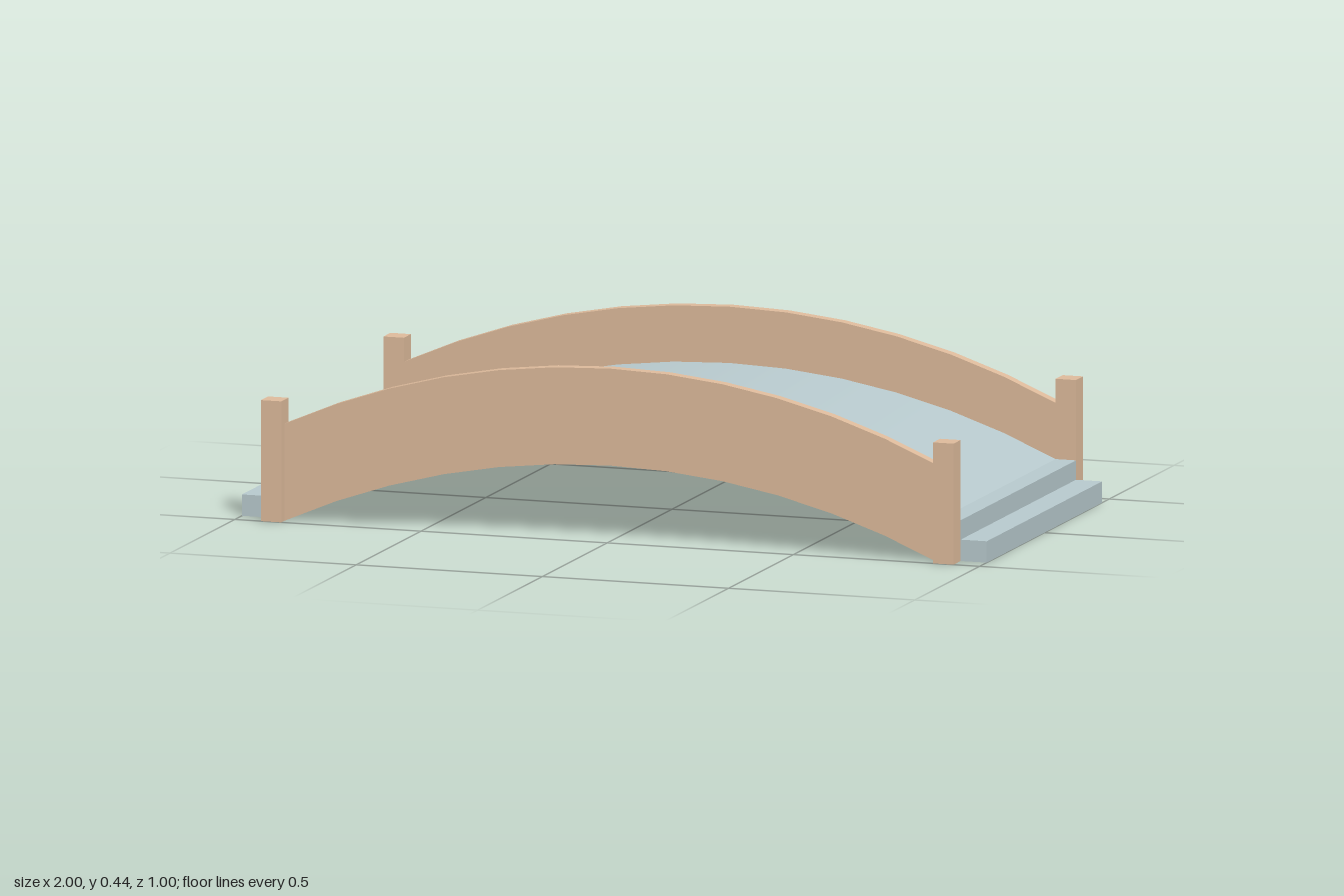
import * as THREE from 'three';
import { toCreasedNormals } from 'three/addons/utils/BufferGeometryUtils.js';

const HALF = 0.875;   // half span of the arch
const RISE = 0.195;   // height of the arch at mid-span
const DECK_Z = 0.445; // half width of the deck
const SEGMENTS = 12;

const wood = new THREE.MeshStandardMaterial({ color: 0xdebb9c });
const slab = new THREE.MeshStandardMaterial({ color: 0xb8cace });

// Points along the circular arch from -x to +x, lifted by the given height
function arch(lift) {
  const r = (HALF * HALF + RISE * RISE) / (2 * RISE);
  const a = Math.asin(HALF / r);
  return Array.from({ length: SEGMENTS + 1 }, (_, i) => {
    const t = a * (2 * i / SEGMENTS - 1);
    return new THREE.Vector2(r * Math.sin(t), Math.max(0, r * Math.cos(t) - r + RISE) + lift);
  });
}

function extrudeProfile(name, points, depth, material) {
  let geo = new THREE.ExtrudeGeometry(new THREE.Shape(points), { depth, bevelEnabled: false });
  geo.translate(0, 0, -depth / 2);
  geo = toCreasedNormals(geo, 0.3);
  const mesh = new THREE.Mesh(geo, material);
  mesh.name = name;
  return mesh;
}

export function createModel() {
  const bridge = new THREE.Group();
  bridge.name = 'archedBridge';
  const v = (x, y) => new THREE.Vector2(x, y);

  // Deck: arched slab with a landing and a low step at each end
  bridge.add(extrudeProfile('deck', [
    ...arch(0),
    v(1, 0), v(1, 0.055), v(0.93, 0.055), v(0.93, 0.105),
    ...arch(0.105).reverse(),
    v(-0.93, 0.105), v(-0.93, 0.055), v(-1, 0.055), v(-1, 0),
  ], DECK_Z * 2, slab));

  for (const side of [1, -1]) {
    const face = side > 0 ? 'front' : 'back';

    // Arched side rail
    const rail = extrudeProfile(face + 'Rail', [...arch(0), ...arch(0.25).reverse()], 0.03, wood);
    rail.position.z = side * (DECK_Z + 0.015);
    bridge.add(rail);

    // End posts
    for (const end of [1, -1]) {
      const post = new THREE.Mesh(new THREE.BoxGeometry(0.055, 0.312, 0.055), wood);
      post.name = face + (end > 0 ? 'Left' : 'Right') + 'Post';
      post.position.set(end * 0.9025, 0.156, side * (DECK_Z + 0.0275));
      bridge.add(post);
    }
  }
  return bridge;
}
